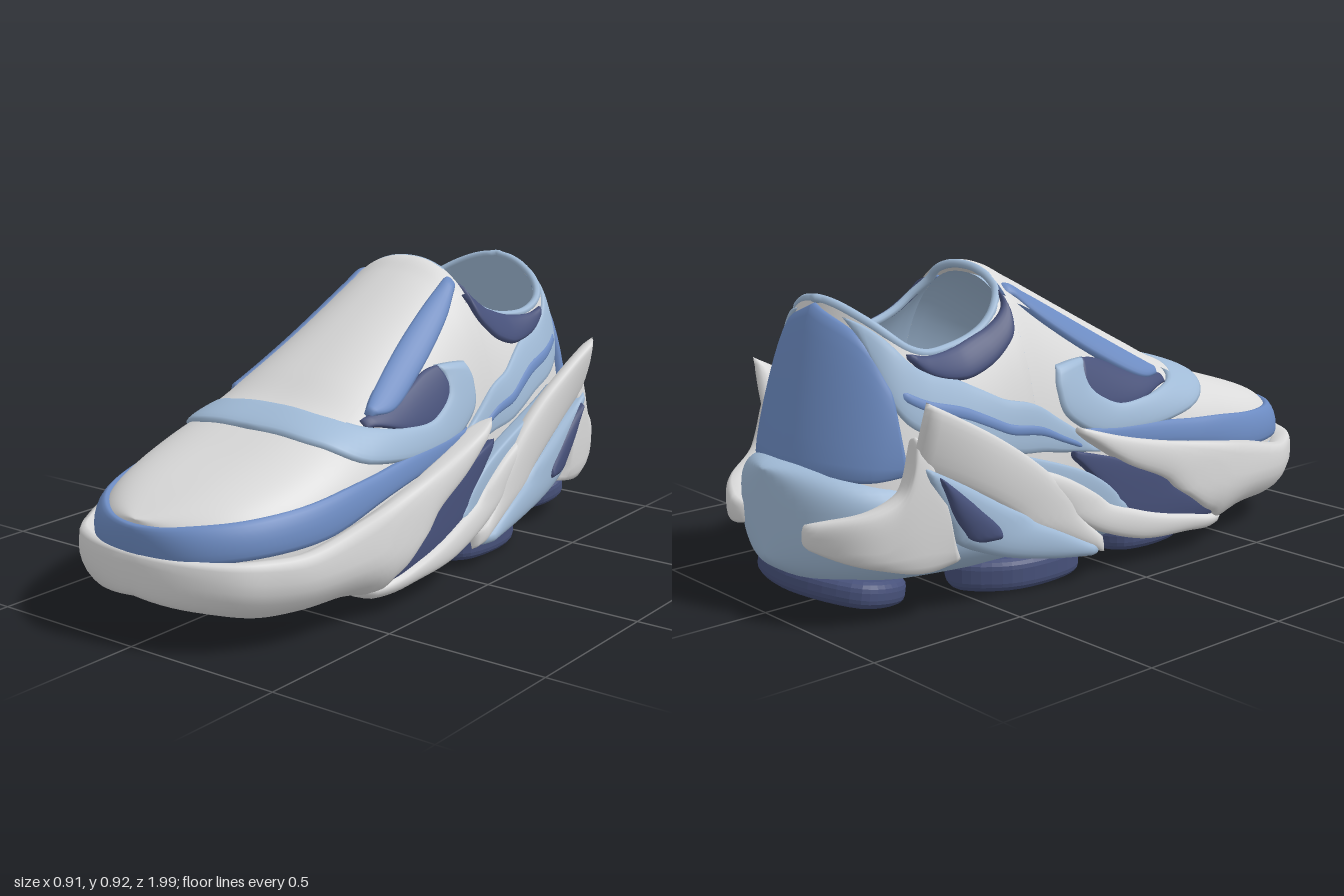
import * as THREE from 'three';
import { mergeVertices } from 'three/addons/utils/BufferGeometryUtils.js';

const HALF_PI = Math.PI / 2;
const mat = (name, color) => new THREE.MeshStandardMaterial({ name, color, side: THREE.DoubleSide });
const clamp = THREE.MathUtils.clamp;
const spow = (v, e) => Math.sign(v) * Math.pow(Math.abs(v), e);

// Smooth interpolation through [x, value] pairs sorted by rising x
function interp(pairs) {
  const pts = [...pairs].sort((a, b) => a[0] - b[0]), n = pts.length - 1;
  const slope = (i) => {
    const a = pts[Math.max(0, i - 1)], b = pts[Math.min(n, i + 1)];
    return (b[1] - a[1]) / (b[0] - a[0]);
  };
  return (x) => {
    let i = 0;
    while (i < n - 1 && x > pts[i + 1][0]) i++;
    const [x0, y0] = pts[i], [x1, y1] = pts[i + 1], h = x1 - x0, t = clamp((x - x0) / h, 0, 1);
    const t2 = t * t, t3 = t2 * t;
    return y0 * (2 * t3 - 3 * t2 + 1) + slope(i) * h * (t3 - 2 * t2 + t) + y1 * (3 * t2 - 2 * t3) + slope(i + 1) * h * (t3 - t2);
  };
}

// Lofted half body: g runs toe (0) to heel (1), a runs from the side (0) to the top (PI/2)
function makeSurface({ half, centre, round, lean, rows }) {
  const toG = (s) => Math.acos(clamp((s - centre) / half, -1, 1)) / Math.PI;
  const [w, lo, mid, hi] = [1, 2, 3, 4].map((k) => interp(rows.map((r) => [toG(r[0]), r[k]])));
  const pow = interp(round.map(([z, n]) => [toG(z), n]));
  const shift = (s, y) => lean * (y - 0.4) / 0.46 * THREE.MathUtils.smoothstep(-s, 0.45, 0.93);
  const angle = (g, y) => {
    const m = mid(g), t = y > m ? (y - m) / (hi(g) - m) : (y - m) / (m - lo(g));
    return Math.asin(clamp(spow(t, pow(g) / 2), -1, 1));
  };
  const point = (g0, a) => {
    const flip = g0 < 0 || g0 > 1 ? -1 : 1, g = g0 < 0 ? -g0 : g0 > 1 ? 2 - g0 : g0;
    const s = centre + half * Math.cos(Math.PI * g), m = mid(g), e = 2 / pow(g), k = spow(Math.sin(a), e);
    const y = m + k * (k > 0 ? hi(g) - m : m - lo(g));
    return new THREE.Vector3(flip * w(g) * spow(Math.cos(a), e), y, s + shift(s, y));
  };
  const at = (g, a, d = 0) => {
    const p = point(g, a), e = 0.004;
    if (!d) return p;
    const dg = point(g + e, a).sub(point(g - e, a)), da = point(g, a + e).sub(point(g, a - e));
    return p.addScaledVector(dg.cross(da).normalize(), d);
  };
  const locate = ([z, y]) => {
    let s = z;
    for (let i = 0; i < 12; i++) s = z - shift(s, y);
    return new THREE.Vector3(toG(s), angle(toG(s), y), 0);
  };
  return { at, angle, locate, toG };
}

// Grid of points mirrored to the other side and welded on the centre line
function grid(nu, nv, fn) {
  const pos = [], idx = [], count = (nu + 1) * (nv + 1);
  for (const side of [1, -1]) {
    const base = side === 1 ? 0 : count;
    for (let i = 0; i <= nu; i++) for (let j = 0; j <= nv; j++) {
      const p = fn(i / nu, j / nv);
      pos.push(p.x * side, p.y, p.z);
    }
    for (let i = 0; i < nu; i++) for (let j = 0; j < nv; j++) {
      const a = base + i * (nv + 1) + j, b = a + nv + 1;
      if (side === 1) idx.push(a, b, a + 1, b, b + 1, a + 1);
      else idx.push(a, a + 1, b, b, a + 1, b + 1);
    }
  }
  let geo = new THREE.BufferGeometry();
  geo.setAttribute('position', new THREE.Float32BufferAttribute(pos, 3));
  geo.setIndex(idx);
  geo = mergeVertices(geo, 1e-4);
  geo.computeVertexNormals();
  return geo;
}

// Padded panel on a surface between a lower and an upper edge, both listed toe to heel as [z, y];
// tilt leans the upper edge outwards towards the heel end
function panel(surf, lower, upper, off, depth = 0.012, tilt = 0) {
  const curve = (pts) => new THREE.CatmullRomCurve3(pts.map(surf.locate), false, 'centripetal');
  const A = curve(lower), B = curve(upper);
  const free = (p) => p.x > 0.001 && p.x < 0.999 && p.y < 1.5;
  const start = free(A.getPoint(0)), end = free(A.getPoint(1));
  return grid(50, 20, (u, v) => {
    const th = v * Math.PI * 2, r = 0.5 - 0.5 * Math.cos(th), q = A.getPoint(u).lerp(B.getPoint(u), r);
    const d = spow(Math.sin(th), 0.5);
    const taper = Math.sqrt(Math.min(1, start ? u / 0.06 : 1, end ? (1 - u) / 0.06 : 1));
    return surf.at(clamp(q.x, 0, 1), q.y, tilt * u * u * r + taper * d * (d > 0 ? off : depth));
  });
}

// Rounded tread pad from an outline in [x, z]
function pad(outline, top, thick) {
  const c = new THREE.CatmullRomCurve3(outline.map(([x, z]) => new THREE.Vector3(x, z, 0)), true);
  const shape = new THREE.Shape(c.getPoints(40).slice(0, -1).map((p) => new THREE.Vector2(p.x, p.y)));
  const geo = new THREE.ExtrudeGeometry(shape, { depth: thick - 0.06, bevelThickness: 0.03, bevelSize: 0.035,
    bevelOffset: -0.04, bevelSegments: 4, curveSegments: 1 });
  return geo.rotateX(HALF_PI).translate(0, top - 0.03, 0);
}

export function createModel() {
  const root = new THREE.Group();
  root.name = 'shoe';
  const white = mat('off white', 0xdadada), light = mat('light blue', 0xa0bad6);
  const blue = mat('mid blue', 0x6c8bc2), dark = mat('dark navy', 0x47517a);
  const add = (name, geo, material) => {
    const m = new THREE.Mesh(geo, material);
    m.name = name;
    root.add(m);
    return m;
  };

  // Body surfaces, rows are [z, half width, low, middle, high]
  const upper = makeSurface({ half: 0.95, centre: 0.02, round: [[0.97, 3], [0.5, 3], [0.25, 2.5], [0, 2.3], [-0.93, 2.3]], lean: 0.13, rows: [
    [0.97, 0, 0.1, 0.2, 0.352], [0.95, 0.13, 0.1, 0.2, 0.362], [0.9, 0.215, 0.1, 0.2, 0.382], [0.8, 0.295, 0.1, 0.2, 0.418],
    [0.65, 0.35, 0.1, 0.2, 0.465], [0.5, 0.37, 0.1, 0.2, 0.515], [0.37, 0.37, 0.1, 0.2, 0.56], [0.25, 0.367, 0.1, 0.2, 0.627],
    [0, 0.356, 0.1, 0.2, 0.765], [-0.2, 0.35, 0.1, 0.2, 0.872], [-0.28, 0.35, 0.1, 0.2, 0.905], [-0.4, 0.345, 0.1, 0.2, 0.85],
    [-0.5, 0.34, 0.1, 0.2, 0.83], [-0.65, 0.325, 0.1, 0.2, 0.89], [-0.8, 0.275, 0.1, 0.2, 1.05], [-0.88, 0.19, 0.1, 0.2, 1.12],
    [-0.93, 0, 0.1, 0.2, 1.15]] });
  const wallWidth = [[0.97, 0], [0.9, 0.26], [0.8, 0.345], [0.7, 0.395], [0.5, 0.428], [0.3, 0.424], [0, 0.403],
    [-0.3, 0.385], [-0.6, 0.368], [-0.8, 0.335], [-0.9, 0.265], [-0.97, 0]];
  const lowAt = interp([[-0.97, -0.4], [-0.1, -0.4], [0.3, -0.1], [0.5, 0.04], [0.8, 0.06], [0.97, 0.12]]);
  const highAt = interp([[-0.97, 1.2], [0, 1], [0.3, 0.8], [0.6, 0.55], [0.97, 0.32]]);
  const wall = makeSurface({ half: 0.97, centre: 0, round: [[0.97, 2.6], [-0.97, 2.6]], lean: 0,
    rows: wallWidth.map(([z, w]) => [z, w, lowAt(z), 0.23, highAt(z)]) });
  const sole = makeSurface({ half: 0.985, centre: -0.01, round: [[0.975, 2.7], [-0.995, 2.7]], lean: 0, rows: [
    [0.975, 0, 0.17, 0.22, 0.27], [0.9, 0.25, 0.125, 0.21, 0.27], [0.8, 0.325, 0.095, 0.2, 0.275], [0.5, 0.41, 0.07, 0.2, 0.3],
    [0.2, 0.4, 0.055, 0.2, 0.35], [-0.1, 0.38, 0.045, 0.2, 0.38], [-0.4, 0.365, 0.045, 0.23, 0.39], [-0.65, 0.345, 0.055, 0.26, 0.41],
    [-0.8, 0.32, 0.07, 0.28, 0.425], [-0.92, 0.225, 0.1, 0.29, 0.43], [-0.995, 0, 0.17, 0.29, 0.41]] });

  // Sole body
  add('midsole', grid(60, 32, (u, v) => sole.at(u, (v - 0.5) * Math.PI)), light);

  // Upper shell, lining and collar
  const g0 = upper.toG(-0.28);
  const collarY = interp([[-0.93, 0.86], [-0.88, 0.82], [-0.8, 0.77], [-0.72, 0.735], [-0.62, 0.715], [-0.5, 0.72],
    [-0.42, 0.74], [-0.35, 0.78], [-0.28, 0.855]]);
  const collarA = (g) => upper.angle(g, collarY(0.02 + 0.95 * Math.cos(Math.PI * g)));
  const rearShell = (off) => grid(40, 16, (u, v) => {
    const g = g0 + u * (1 - g0);
    return upper.at(g, v * collarA(g), off);
  });
  add('vamp', grid(50, 28, (u, v) => upper.at(u * g0, v * HALF_PI)), white);
  add('quarter', rearShell(0), white);
  add('lining', rearShell(-0.022), light);
  add('frontLining', grid(20, 20, (u, v) => upper.at(g0 * (0.5 + 0.5 * u), v * HALF_PI, -0.022)), light);
  add('insole', grid(40, 2, (u, v) => {
    const g = 0.25 + 0.75 * u, p = upper.at(g, upper.angle(g, 0.44));
    p.x *= v;
    return p;
  }), blue);
  const rim = [];
  for (let i = 0; i <= 24; i++) { const g = g0 + (i / 24) * (1 - g0); rim.push(upper.at(g, collarA(g), i < 24 ? -0.008 : 0)); }
  const tip = [0.25, 0.5, 0.75, 1].map((t) => upper.at(g0, THREE.MathUtils.lerp(collarA(g0), HALF_PI, t)));
  const flip = (p) => new THREE.Vector3(-p.x, p.y, p.z);
  const loop = [...rim, ...rim.slice(0, -1).reverse().map(flip), ...tip.slice(0, 3).map(flip), ...tip.slice().reverse()];
  add('collarRim', new THREE.TubeGeometry(new THREE.CatmullRomCurve3(loop, true), 140, 0.013, 8, true), light);

  // Upper panels
  add('tongueStrap', grid(40, 14, (u, v) => {
    const g = THREE.MathUtils.lerp(upper.toG(0.42), g0, u);
    return upper.at(g, THREE.MathUtils.lerp(1.0, HALF_PI, v), 0.012);
  }), white);
  add('laceGuard', panel(upper, [[0.28, 0.53], [0.18, 0.54], [0.05, 0.605], [-0.15, 0.735], [-0.28, 0.835]],
    [[0.28, 0.545], [0.22, 0.585], [0, 0.715], [-0.15, 0.8], [-0.28, 0.86]], 0.022), blue);
  add('sideInset', panel(upper, [[0.31, 0.51], [0.12, 0.475], [0, 0.48], [-0.09, 0.56]],
    [[0.31, 0.53], [0.15, 0.565], [0.02, 0.62], [-0.06, 0.635]], 0.012), dark);
  add('instepBand', panel(upper, [[0.515, 0.6], [0.49, 0.49], [0.36, 0.425], [0.15, 0.4], [-0.03, 0.41], [-0.15, 0.47], [-0.185, 0.56], [-0.17, 0.63]],
    [[0.38, 0.65], [0.375, 0.542], [0.3, 0.51], [0.17, 0.49], [0.05, 0.49], [-0.03, 0.53], [-0.06, 0.59], [-0.04, 0.635]], 0.018), light);
  add('toeBand', panel(upper, [[0.97, 0.24], [0.9, 0.25], [0.6, 0.27], [0.3, 0.33], [0, 0.38], [-0.12, 0.43]],
    [[0.97, 0.342], [0.93, 0.345], [0.8, 0.356], [0.6, 0.375], [0.3, 0.405], [0, 0.43], [-0.12, 0.44]], 0.018), blue);
  add('collarPad', panel(upper, [[-0.28, 0.8], [-0.32, 0.71], [-0.4, 0.655], [-0.5, 0.63], [-0.6, 0.65], [-0.68, 0.71]],
    [[-0.28, 0.85], [-0.34, 0.775], [-0.45, 0.728], [-0.55, 0.708], [-0.62, 0.708], [-0.68, 0.722]], 0.018), dark);
  add('heelSweep', panel(upper, [[-0.04, 0.36], [-0.3, 0.4], [-0.55, 0.47], [-0.72, 0.55], [-0.77, 0.74]],
    [[-0.1, 0.42], [-0.35, 0.555], [-0.55, 0.645], [-0.69, 0.715], [-0.79, 0.82]], 0.014), light);
  add('heelSweepStripe', panel(upper, [[-0.1, 0.375], [-0.35, 0.455], [-0.55, 0.53], [-0.73, 0.61]],
    [[-0.1, 0.39], [-0.35, 0.49], [-0.55, 0.57], [-0.73, 0.64]], 0.018), blue);
  add('heelCounter', panel(upper, [[-0.72, 0.4], [-0.82, 0.39], [-0.96, 0.39]],
    [[-0.735, 0.62], [-0.775, 0.77], [-0.88, 0.85]], 0.02), blue);

  // Sculpted sole panels
  add('toeBumper', panel(wall, [[0.97, 0.14], [0.9, 0.12], [0.75, 0.095], [0.5, 0.09], [0.36, 0.12], [0.2, 0.22], [0, 0.33], [-0.18, 0.45]],
    [[0.97, 0.265], [0.9, 0.262], [0.75, 0.265], [0.52, 0.315], [0.36, 0.34], [0.15, 0.375], [0, 0.41], [-0.18, 0.465]], 0.026, 0.06), white);
  add('sideLens', panel(wall, [[0.42, 0.1], [0.15, 0.11], [-0.03, 0.2], [-0.19, 0.38]],
    [[0.42, 0.12], [0.2, 0.24], [0, 0.34], [-0.19, 0.395]], 0.008, 0.05), dark);
  add('lowerSweep', panel(wall, [[0.48, 0.075], [0.25, 0.075], [0.05, 0.09], [-0.1, 0.14], [-0.28, 0.27], [-0.5, 0.4]],
    [[0.48, 0.1], [0.25, 0.13], [0.05, 0.18], [-0.1, 0.25], [-0.28, 0.35], [-0.5, 0.42]], 0.03, 0.04), white);
  add('midSweep', panel(wall, [[0.02, 0.17], [-0.15, 0.22], [-0.4, 0.34], [-0.66, 0.47]],
    [[0.02, 0.2], [-0.15, 0.33], [-0.4, 0.42], [-0.66, 0.5]], 0.012, 0.05), light);
  add('rearWing', panel(wall, [[-0.07, 0.07], [-0.25, 0.15], [-0.45, 0.27], [-0.62, 0.37], [-0.75, 0.43]],
    [[-0.08, 0.12], [-0.25, 0.31], [-0.45, 0.465], [-0.6, 0.55], [-0.735, 0.62]], 0.03, 0.03, 0.075), white);
  add('wingPanel', panel(wall, [[-0.1, 0.075], [-0.3, 0.1], [-0.5, 0.15], [-0.64, 0.24], [-0.74, 0.43]],
    [[-0.1, 0.1], [-0.28, 0.19], [-0.46, 0.29], [-0.62, 0.385], [-0.74, 0.45]], 0.04, 0.03, 0.02), light);
  add('wingInset', panel(wall, [[-0.48, 0.2], [-0.56, 0.2], [-0.63, 0.26], [-0.7, 0.41]],
    [[-0.48, 0.22], [-0.55, 0.3], [-0.62, 0.36], [-0.7, 0.42]], 0.052, 0, 0.02), dark);
  add('heelHorn', panel(wall, [[-0.6, 0.16], [-0.72, 0.14], [-0.85, 0.17], [-0.955, 0.225]],
    [[-0.68, 0.38], [-0.735, 0.52], [-0.79, 0.37], [-0.955, 0.275]], 0.042, 0.04), white);

  // Tread pads
  const heelPad = add('heelPad', pad([[-0.24, 0.1], [0, 0.17], [0.24, 0.1], [0.26, -0.06], [0, -0.16], [-0.26, -0.06]], 0.05, 0.08), dark);
  heelPad.position.set(0, 0.055, -0.79);
  heelPad.rotation.x = 0.16;
  const pairs = {
    midPad: [[[0.05, -0.24], [0.18, -0.06], [0.34, -0.12], [0.35, -0.38], [0.22, -0.51], [0.08, -0.42]], 0.1, 0.1],
    forefootPad: [[[0.06, 0.1], [0.2, 0], [0.35, 0.06], [0.35, 0.3], [0.2, 0.37], [0.07, 0.28]], 0.105, 0.08],
    smallPad: [[[0.04, 0.47], [0.12, 0.4], [0.23, 0.45], [0.2, 0.55], [0.08, 0.57]], 0.115, 0.075]
  };
  for (const [name, [outline, top, thick]] of Object.entries(pairs)) {
    add(name + 'Left', pad(outline, top, thick), dark);
    add(name + 'Right', pad(outline.map(([x, z]) => [-x, z]).reverse(), top, thick), dark);
  }
  const toePad = add('toePad', pad([[-0.27, -0.12], [0, -0.04], [0.27, -0.12], [0.24, 0.06], [0, 0.18], [-0.24, 0.06]], 0.04, 0.07), dark);
  toePad.position.set(0, 0.09, 0.7);
  toePad.rotation.x = -0.18;
  return root;
}
